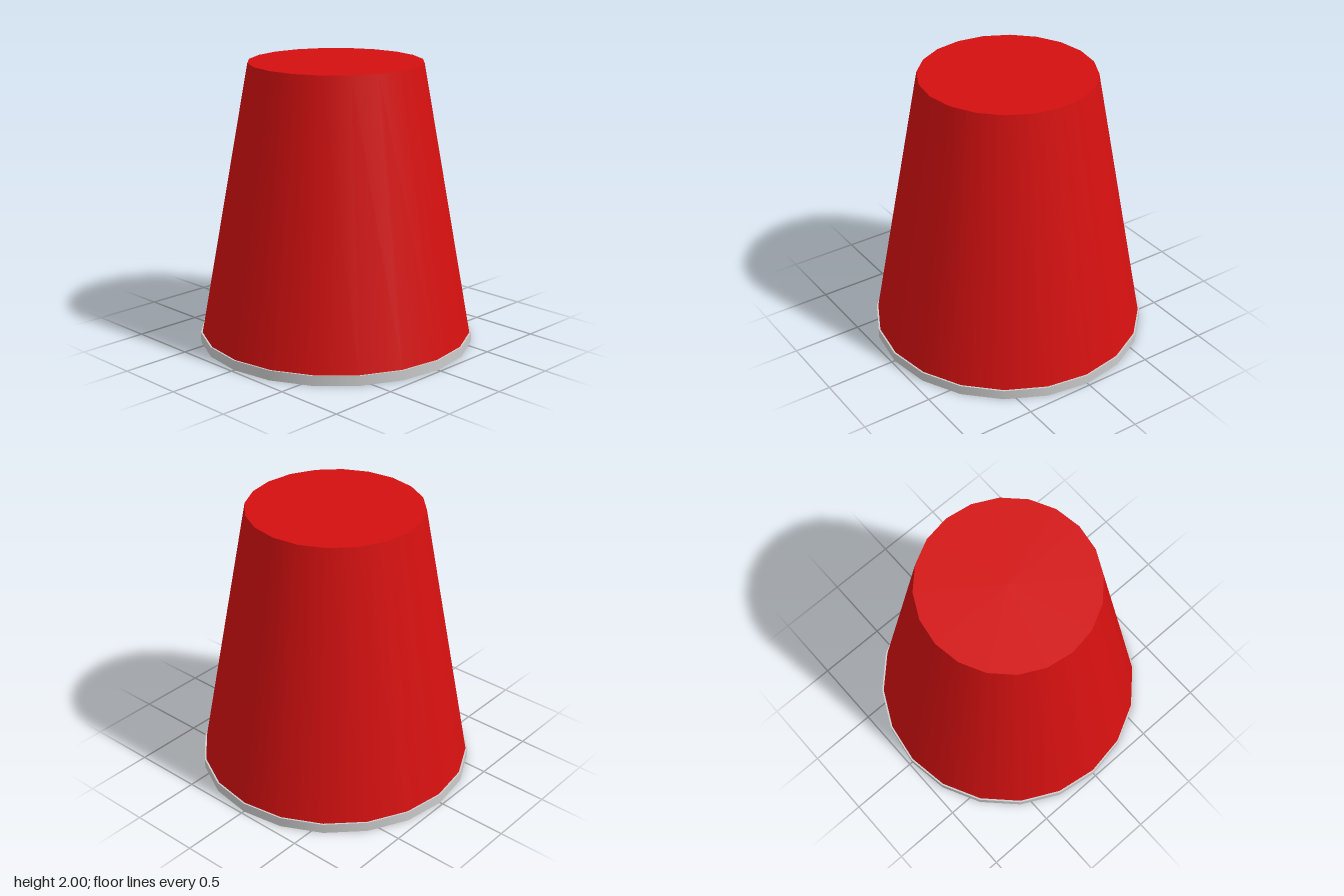
import * as THREE from 'three';
import { mergeGeometries } from 'three/addons/utils/BufferGeometryUtils.js';

const SIDES = 20;

// Revolves a [radius, height] profile, one band per step, so that every
// profile corner stays sharp while the bands are smooth around the axis.
function turned(name, profile, color) {
  const bands = [];
  for (let i = 0; i < profile.length - 1; i++) {
    const ends = [profile[i], profile[i + 1]].map(([r, y]) => new THREE.Vector2(r, y));
    bands.push(new THREE.LatheGeometry(ends, SIDES));
  }
  const mesh = new THREE.Mesh(mergeGeometries(bands), new THREE.MeshStandardMaterial({ color }));
  mesh.name = name;
  return mesh;
}

export function createModel() {
  const group = new THREE.Group();
  group.name = 'upturnedCup';

  const rimTop = 0.07, rimOuter = 0.977, rimInner = 0.915;
  const wallOuter = 0.965, topRadius = 0.613;
  const wall = wallOuter - rimInner;

  // Tapered hollow body: outer wall, closed top, inner ceiling, inner wall
  group.add(turned('body', [
    [wallOuter, rimTop], [topRadius, 2], [0, 2],
  ], 0xd41010));
  group.add(turned('bodyInside', [
    [0, 2 - wall], [topRadius - wall, 2 - wall], [rimInner, rimTop],
  ], 0xd41010));

  // Flat grey ring around the open mouth
  group.add(turned('rim', [
    [rimInner, 0], [rimOuter, 0], [rimOuter, rimTop], [rimInner, rimTop], [rimInner, 0],
  ], 0xcccccc));

  return group;
}
